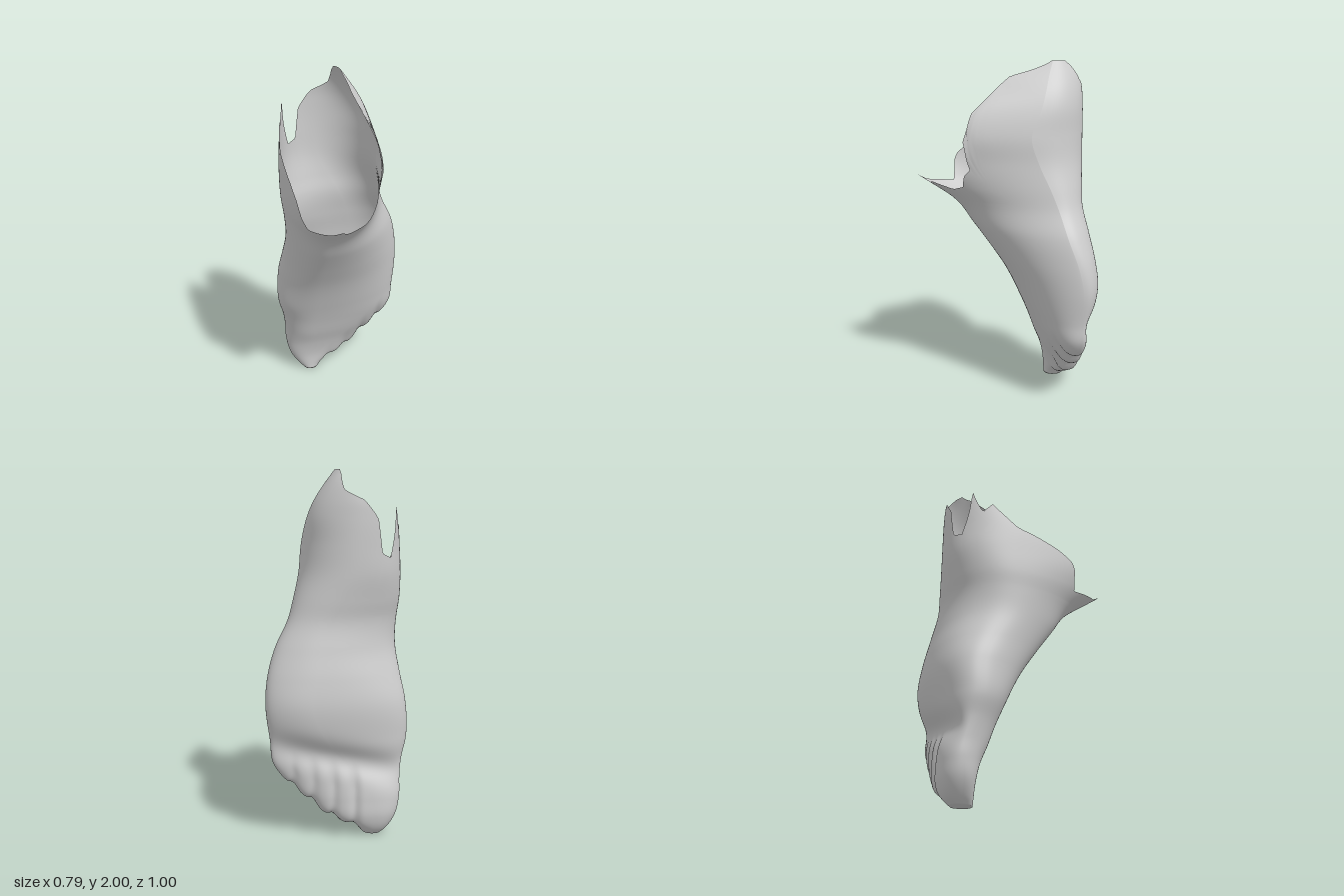
import * as THREE from 'three';

const { smoothstep, mapLinear, degToRad } = THREE.MathUtils;

// Cross-sections from toe tip to heel: y, xMin, xMax, zSole, zInstep, instepRidgeX, soleRidgeX, widestZ
const SECTIONS = [
  [0, -0.24, -0.15, -0.39, -0.28, -0.2, -0.2, -0.34],
  [0.04, -0.278, -0.11, -0.43, -0.28, -0.2, -0.2, -0.35],
  [0.12, -0.325, 0.05, -0.46, -0.275, -0.2, -0.2, -0.36],
  [0.22, -0.345, 0.165, -0.46, -0.25, -0.18, -0.18, -0.37],
  [0.32, -0.35, 0.275, -0.455, -0.21, -0.18, -0.12, -0.37],
  [0.43, -0.365, 0.355, -0.46, -0.17, -0.17, -0.04, -0.37],
  [0.55, -0.395, 0.37, -0.475, -0.12, -0.17, 0.06, -0.37],
  [0.75, -0.39, 0.393, -0.5, -0.025, -0.17, 0.15, -0.37],
  [0.9, -0.37, 0.38, -0.485, 0.07, -0.17, 0.13, -0.34],
  [1.05, -0.36, 0.335, -0.455, 0.175, -0.17, 0.1, -0.29],
  [1.2, -0.37, 0.26, -0.43, 0.285, -0.17, 0.04, -0.25],
  [1.31, -0.383, 0.226, -0.44, 0.44, -0.18, -0.02, -0.21],
  [1.45, -0.385, 0.19, -0.455, 0.66, -0.19, -0.09, -0.15],
  [1.6, -0.38, 0.172, -0.46, 0.75, -0.12, -0.11, -0.11],
  [1.75, -0.36, 0.145, -0.46, 0.73, -0.2, -0.12, -0.17],
  [1.84, -0.35, 0.11, -0.455, 0.55, -0.29, -0.12, -0.2],
  [1.93, -0.34, 0.055, -0.435, 0.4, -0.31, -0.12, -0.23],
  [2, -0.33, 0.005, -0.39, 0, -0.28, -0.12, -0.26],
];

// Height of the ragged ankle opening by angle (0 = front, 90 = +x, 180 = sole)
const RIM = [
  [0, 1.345], [5, 1.3], [14, 1.325], [24, 1.29], [32, 1.31], [40, 1.38], [46, 1.42],
  [49, 1.6], [51, 1.78], [53, 1.86], [56, 1.92], [70, 1.975], [80, 2], [118, 2],
  [132, 1.97], [150, 1.89], [180, 1.84], [196, 1.74], [202, 1.56], [214, 1.54],
  [226, 1.7], [232, 1.82], [240, 1.68], [252, 1.74], [264, 1.6], [285, 1.5],
  [295, 1.44], [307, 1.34], [318, 1.28], [342, 1.3], [355, 1.315], [360, 1.345],
];

const CLEFTS = [-0.085, 0.03, 0.14, 0.245]; // gaps between the toes
const WAIST = 1.22; // rows are level up to here, then follow the rim

function rimHeight(deg) {
  const i = RIM.findIndex((r, k) => k > 0 && deg <= r[0]);
  const [a, b] = [RIM[i - 1], RIM[i]];
  return mapLinear(deg, a[0], b[0], a[1], b[1]);
}

const power = (v, e) => Math.sign(v) * Math.abs(v) ** e;
const bump = (d, width) => Math.exp(-((d / width) ** 2));

// Press the toe clefts and the crease under the toes into a skin point
function shapeToes([x, y, z], s, c) {
  const creaseY = 0.455 + 0.22 * x;
  const cleft = CLEFTS.reduce((sum, gap) => sum + bump(x - gap, 0.026), 0);
  const under = 1 - smoothstep(y, creaseY - 0.16, creaseY);
  const nearTip = 1 - smoothstep(y, 0.12 + x, 0.26 + x);
  const sole = Math.max(0, -c), top = Math.max(0, c), edge = Math.max(0, s) ** 2;
  const dz = sole * (0.018 * cleft * under + 0.045 * bump(y - creaseY, 0.08)) - top * 0.007 * cleft * nearTip;
  return [x, y + 0.028 * edge * cleft * nearTip, z + dz];
}

// Open skin lofted through the sections, each column stopping at the rim
function skinGeometry(cols = 200, rows = 110) {
  const curve = new THREE.CubicInterpolant(
    SECTIONS.map((r) => r[0]), SECTIONS.flatMap((r) => r.slice(1)), 7);
  const positions = [], indices = [];
  for (let j = 0; j <= rows; j++) {
    const t = j / rows;
    const level = WAIST * Math.min(t / 0.72, 1) ** 1.3;
    const rise = Math.max((t - 0.72) / 0.28, 0);
    const open = j ? 1 : 0; // the first row closes the toe tip
    for (let i = 0; i < cols; i++) {
      const deg = (i / cols) * 360;
      const s = Math.sin(degToRad(deg)), c = Math.cos(degToRad(deg));
      const y = level + rise * (rimHeight(deg) - WAIST);
      const [xMin, xMax, zSole, zInstep, instepX, soleX, widest] = curve.evaluate(y);
      const ridge = instepX + (soleX - instepX) * (1 - c) / 2;
      const right = s > 0;
      // The hollow arch lifts the inner side of the sole
      const arch = right ? 0 : bump(y - 1.1, 0.26);
      const wide = right ? widest : widest + 0.08 * smoothstep(y, 0.2, 0.6) + 0.09 * arch;
      const x = ridge + open * (right ? s * (xMax - ridge) : power(s, 0.85) * (ridge - xMin));
      // The outer instep slopes away thinly, the inner side stands upright
      const bend = right ? 0.85 + 1.15 * smoothstep(y, 0.4, 1.2) : 1;
      const heel = 0.75 + 0.25 * arch;
      const z = wide + open * (c > 0 ? c ** bend * (zInstep - wide) : power(c, heel) * (wide - zSole));
      positions.push(...shapeToes([x, y, z], s, c));
      if (j < rows) {
        const a = j * cols + i, b = j * cols + ((i + 1) % cols);
        indices.push(a, b, b + cols, a, b + cols, a + cols);
      }
    }
  }
  const g = new THREE.BufferGeometry();
  g.setAttribute('position', new THREE.Float32BufferAttribute(positions, 3));
  g.setIndex(indices);
  g.computeVertexNormals();
  return g;
}

export function createModel() {
  const model = new THREE.Group();
  model.name = 'foot';
  const material = new THREE.MeshStandardMaterial({ color: 0xcccccc, side: THREE.DoubleSide });
  const skin = new THREE.Mesh(skinGeometry(), material);
  skin.name = 'footSkin';
  model.add(skin);
  return model;
}
